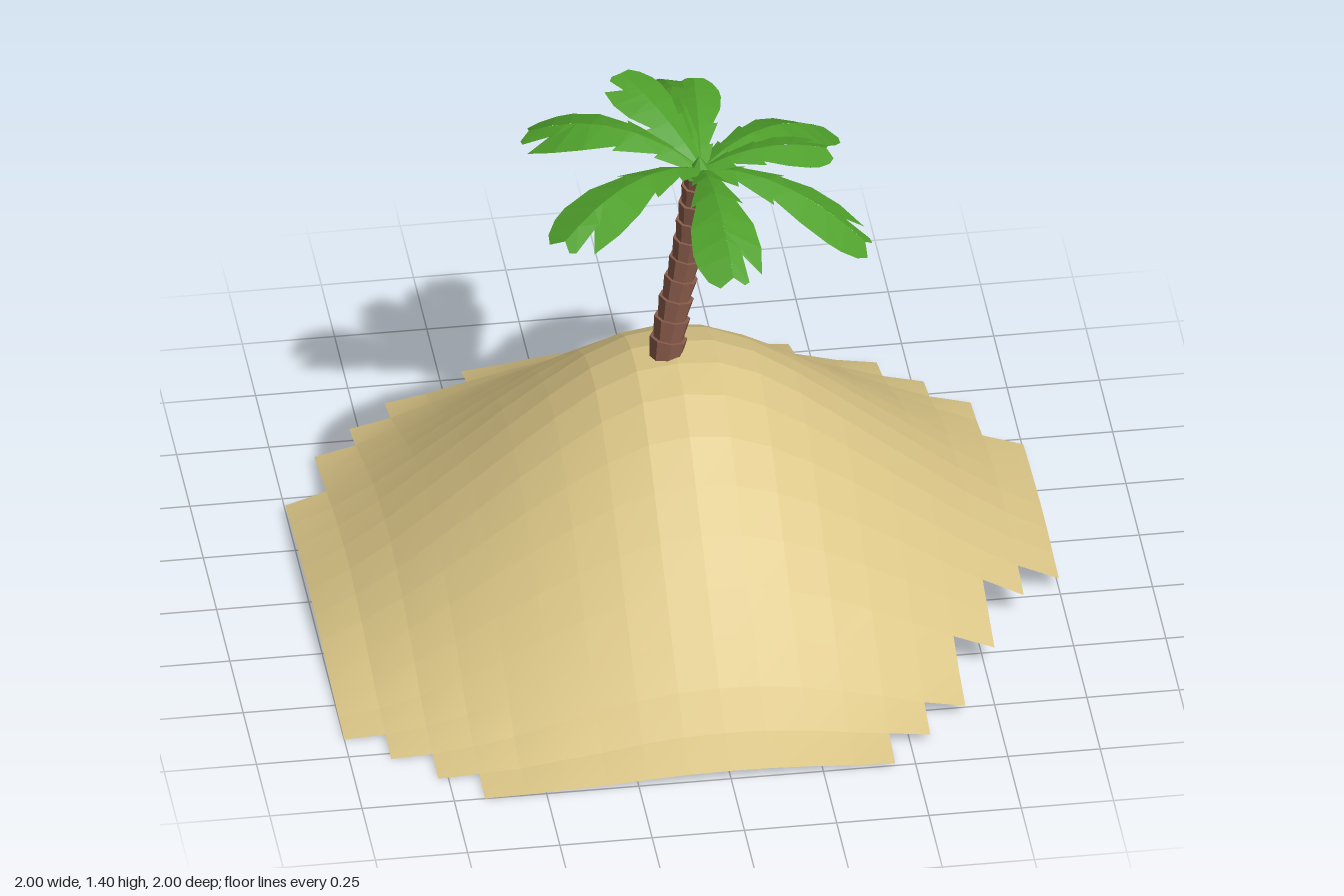
import * as THREE from 'three';

const V = (x, y, z) => new THREE.Vector3(x, y, z);
const mat = (color, flatShading = true) =>
  new THREE.MeshStandardMaterial({ color, flatShading, side: THREE.DoubleSide, roughness: 1 });

function surface(name, positions, index, material) {
  const g = new THREE.BufferGeometry();
  g.setAttribute('position', new THREE.Float32BufferAttribute(positions, 3));
  g.setIndex(index);
  g.computeVertexNormals();
  const mesh = new THREE.Mesh(g, material);
  mesh.name = name;
  return mesh;
}

// Sand height by distance from the summit, one value per 0.1
const HEIGHTS = [0.68, 0.675, 0.635, 0.57, 0.49, 0.41, 0.325, 0.245, 0.165, 0.097, 0.042, 0.012, 0.003, 0];
function sandHeight(x, z) {
  const r = Math.min(Math.hypot(x - 0.01, z + 0.05) * 10, 12.99), i = Math.floor(r);
  return THREE.MathUtils.lerp(HEIGHTS[i], HEIGHTS[i + 1], r - i);
}

// Open sand dome of square facets with a stepped outline; corners are not shared, so each square is flat
function createMound(material) {
  const left = [4, 6, 7, 8, 8, 9, 9, 9, 9, 9, 9, 9, 9, 9, 9, 8, 7, 6];
  const right = [4, 6, 7, 8, 8, 9, 9, 9, 9, 9, 9, 8, 7, 7, 6, 6, 5, 4];
  const p = [], index = [];
  for (let j = 0; j < 18; j++)
    for (let i = -left[j]; i < right[j]; i++) {
      const a = p.length / 3;
      for (const [di, dj] of [[0, 0], [0, 1], [1, 1], [1, 0]]) {
        const x = (i + di) / 9, z = (j + dj) / 9 - 1;
        p.push(x, sandHeight(x, z), z);
      }
      index.push(a, a + 1, a + 3, a + 3, a + 1, a + 2);
    }
  return surface('sandMound', p, index, material);
}

// Curved trunk of stacked collars, each flaring towards its top
function createTrunk(material) {
  const trunk = new THREE.Group();
  trunk.name = 'trunk';
  const path = new THREE.CatmullRomCurve3([
    V(-0.027, 0.655, -0.06), V(0, 0.8, -0.08), V(0.038, 0.98, -0.095),
    V(0.052, 1.12, -0.09), V(0.062, 1.255, -0.07)]);
  const n = 10;
  for (let i = 0; i < n; i++) {
    const a = path.getPointAt(i / n), b = path.getPointAt((i + 1) / n);
    const r = THREE.MathUtils.lerp(0.052, 0.036, i / (n - 1));
    const collar = new THREE.Mesh(new THREE.CylinderGeometry(r, r * 0.8, a.distanceTo(b) * 1.1, 8), material);
    collar.name = 'trunkCollar';
    collar.position.copy(a).lerp(b, 0.5);
    collar.quaternion.setFromUnitVectors(V(0, 1, 0), b.clone().sub(a).normalize());
    trunk.add(collar);
  }
  return trunk;
}

// Frond edge: [place on rib, place of edge, half width]; the two sides end in different lobes
const EDGE = [
  [0, 0, 0.02], [0.16, 0.24, 0.052], [0.2, 0.22, 0.034], [0.36, 0.46, 0.076], [0.4, 0.43, 0.055],
  [0.55, 0.62, 0.09], [0.62, 0.78, 0.098]];
const LOBES = {
  '1': [[0.7, 0.93, 0.085], [0.76, 0.8, 0.036], [0.88, 0.98, 0.045], [0.97, 1, 0.03]],
  '-1': [[0.74, 0.86, 0.092], [0.85, 0.95, 0.07], [0.97, 1, 0.04]],
};

// Frond folded along an arching midrib
function createFrond(base, tip, controlY, size, material) {
  const control = base.clone().lerp(tip, 0.5).setY(controlY);
  const rib = new THREE.QuadraticBezierCurve3(base, control, tip);
  const across = V(tip.z - base.z, 0, base.x - tip.x).normalize();
  const p = [], index = [];
  for (const side of [-1, 1]) {
    const start = p.length / 3;
    [...EDGE, ...LOBES[side]].forEach(([ribT, edgeT, w], i) => {
      const e = rib.getPoint(edgeT).addScaledVector(across, side * w * size);
      e.y -= w * size * 0.3;
      p.push(...rib.getPoint(ribT).toArray(), ...e.toArray());
      if (i === 0) return;
      const a = start + 2 * i - 2, b = a + 1, c = a + 2, d = a + 3;
      if (side > 0) index.push(a, b, c, c, b, d);
      else index.push(a, c, b, c, d, b);
    });
  }
  return surface('frond', p, index, material);
}

export function createModel() {
  const model = new THREE.Group();
  model.name = 'palmIsland';
  const leaf = mat(0x4fa02b);
  model.add(createMound(mat(0xdac586, false)), createTrunk(mat(0x8a5c4b)));

  // Crown: tip x, y, z, height of the arch, relative width
  const crown = new THREE.Group();
  crown.name = 'crown';
  const fronds = [
    [0.02, 1.19, -0.6, 1.41, 1], [0.46, 1.14, -0.38, 1.33, 1], [0.43, 1.25, -0.12, 1.33, 0.8],
    [0.51, 1.06, 0.08, 1.29, 0.95], [0.09, 1.22, 0.44, 1.38, 0.95], [-0.36, 1.29, 0.3, 1.43, 1],
    [-0.38, 1.28, -0.27, 1.42, 1], [-0.11, 1.4, -0.35, 1.38, 0.85], [0.1, 1.33, -0.4, 1.34, 0.7]];
  for (const [x, y, z, arch, size] of fronds)
    crown.add(createFrond(V(0.075, 1.255, -0.07), V(x, y, z), arch, size, leaf));

  // Small bud closing the top of the trunk
  const bud = new THREE.Mesh(new THREE.ConeGeometry(0.042, 0.06, 7), leaf);
  bud.name = 'bud';
  bud.position.set(0.068, 1.265, -0.07);
  crown.add(bud);
  model.add(crown);
  return model;
}
